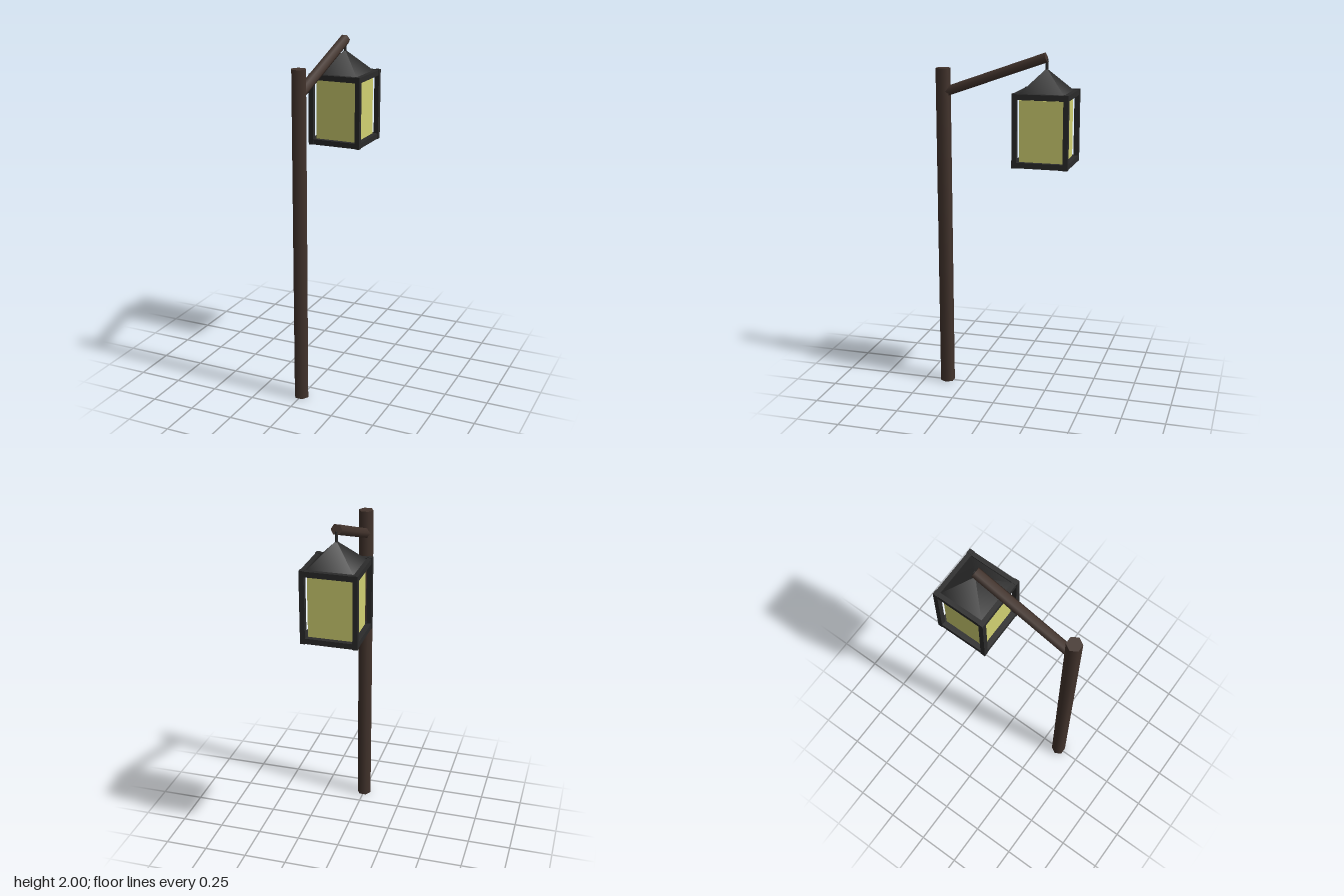
import * as THREE from 'three';

const mat = (name, color, side = THREE.FrontSide) => {
  const m = new THREE.MeshStandardMaterial({ color, side });
  m.name = name;
  return m;
};

export function createModel() {
  const wood = mat('dark wood', 0x43342d);
  const iron = mat('black iron', 0x2b2b2b);
  const roofIron = mat('roof iron', 0x2b2b2b, THREE.DoubleSide);
  roofIron.color = iron.color;
  const glass = mat('yellow glass', 0xd2d272);

  const model = new THREE.Group();
  model.name = 'hangingLantern';
  const add = (parent, name, geometry, material, x = 0, y = 0, z = 0) => {
    const mesh = new THREE.Mesh(geometry, material);
    mesh.name = name;
    mesh.position.set(x, y, z);
    parent.add(mesh);
    return mesh;
  };
  // Six-sided pole with its corners towards the left and right
  const pole = (radius, length) =>
    new THREE.CylinderGeometry(radius, radius, length, 6, 1, false, Math.PI / 2);

  // Upright post
  add(model, 'post', pole(0.043, 1.9), wood, 0, 0.95, 0.362);

  // Sloping arm from the post to above the lantern
  const start = new THREE.Vector3(0, 1.762, 0.36);
  const end = new THREE.Vector3(0, 1.974, -0.238);
  const along = end.clone().sub(start);
  const arm = add(model, 'arm', pole(0.031, along.length()), wood);
  arm.position.copy(start).add(end).multiplyScalar(0.5);
  arm.rotation.x = Math.atan2(along.z, along.y);

  // Lantern, centred under the arm's tip
  const lantern = new THREE.Group();
  lantern.name = 'lantern';
  lantern.position.z = -0.24;
  model.add(lantern);

  add(lantern, 'hangingRod', pole(0.008, 0.215), iron, 0, 1.8575, 0);

  // Four-sided roof
  const roof = new THREE.ConeGeometry(0.13 * Math.SQRT2, 0.135, 4, 1, false, Math.PI / 4);
  add(lantern, 'roof', roof, roofIron, 0, 1.8475, 0);

  // Corner posts
  for (const x of [-1, 1]) {
    for (const z of [-1, 1]) {
      add(lantern, 'cornerPost', new THREE.BoxGeometry(0.028, 0.412, 0.028), iron,
        x * 0.144, 1.584, z * 0.144);
    }
  }

  // Top and bottom rails on all four sides
  for (let i = 0; i < 4; i++) {
    const side = new THREE.Group();
    side.name = 'railPair';
    side.rotation.y = i * Math.PI / 2;
    lantern.add(side);
    for (const y of [1.395, 1.772]) {
      add(side, 'rail', new THREE.BoxGeometry(0.26, 0.031, 0.026), iron, 0, y, 0.143);
    }
  }

  // Floor and glass box
  add(lantern, 'floor', new THREE.BoxGeometry(0.262, 0.028, 0.262), iron, 0, 1.395, 0);
  add(lantern, 'glass', new THREE.BoxGeometry(0.248, 0.342, 0.248), glass, 0, 1.58, 0);

  return model;
}
